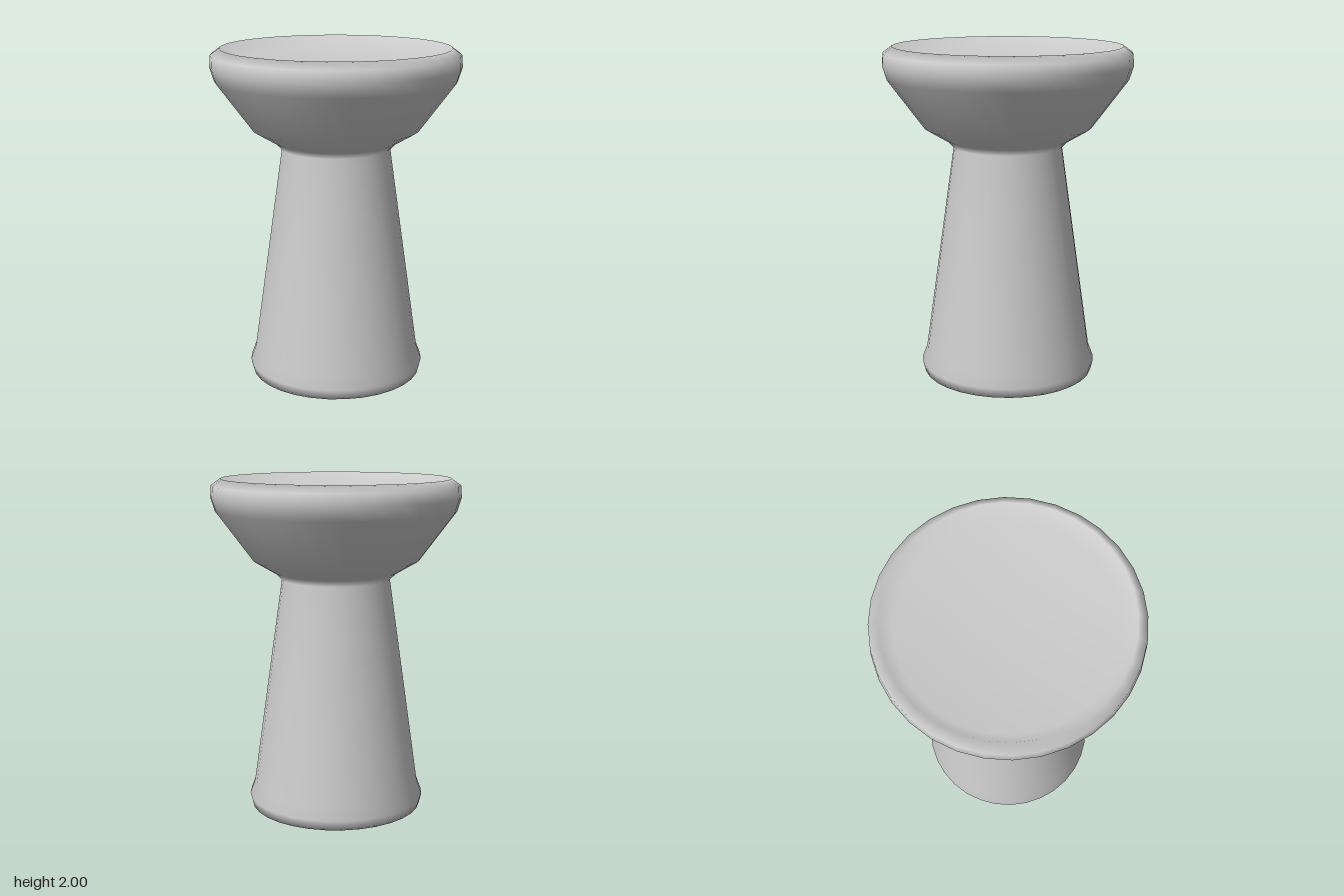
import * as THREE from 'three';

const SIDES = 32;

export function createModel() {
  const group = new THREE.Group();
  const material = new THREE.MeshStandardMaterial({ color: 0xcccccc });

  // One smooth skin of [radius, height] pairs, from the underside to the dish floor
  const profile = [
    [0, 0], [0.52, 0], [0.535, 0.06], [0.505, 0.14],  // underside and foot
    [0.325, 1.4], [0.365, 1.44], [0.5, 1.52],         // tapered stem and neck
    [0.715, 1.81], [0.74, 1.89], [0.735, 1.96],       // flared cup
    [0.68, 2], [0.61, 1.91], [0, 1.91],               // lip and shallow dish
  ].map(([r, y]) => new THREE.Vector2(r, y));

  const pedestal = new THREE.Mesh(new THREE.LatheGeometry(profile, SIDES), material);
  pedestal.name = 'pedestalDish';
  group.add(pedestal);

  return group;
}
